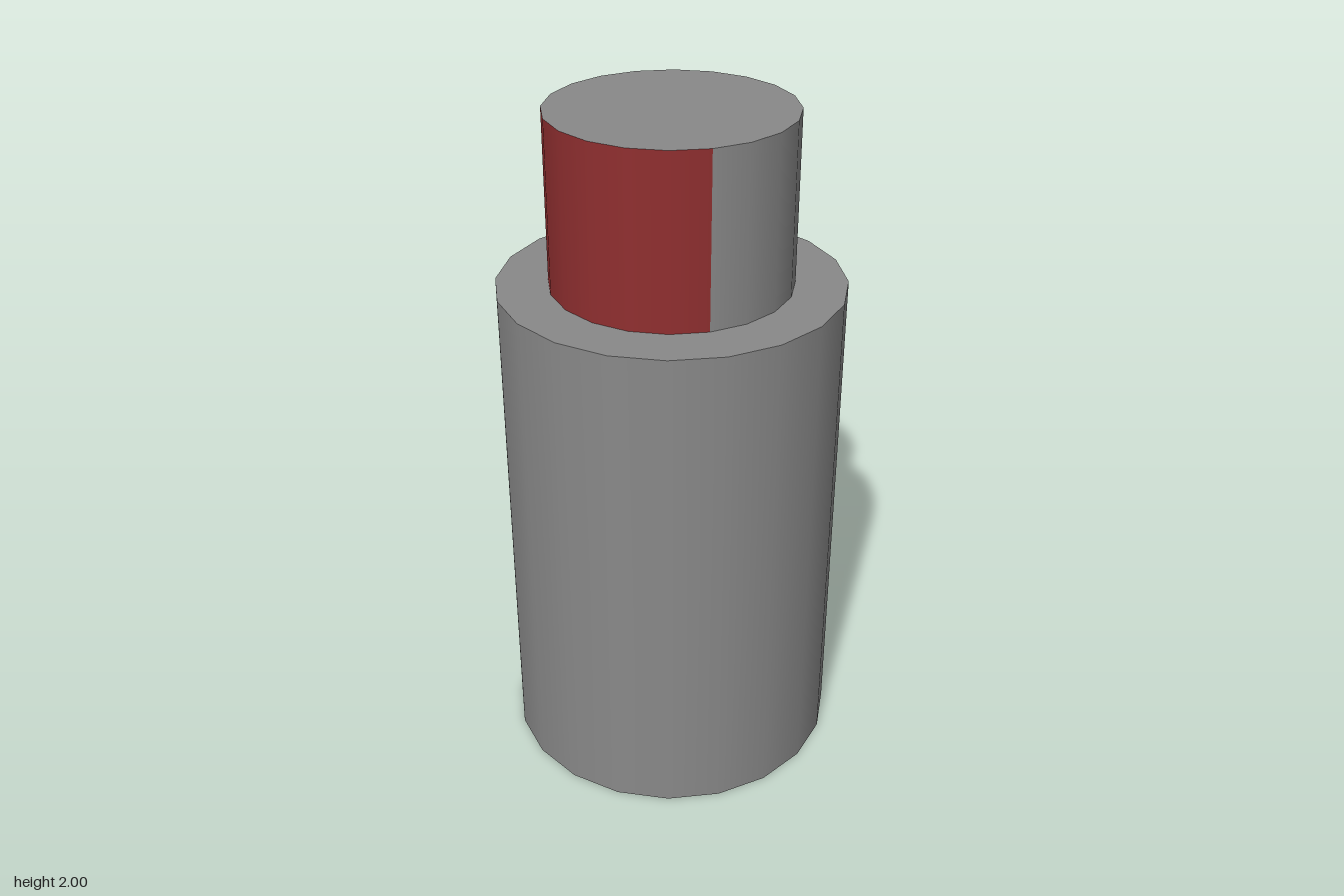
import * as THREE from 'three';

const SIDES = 20;
const STEP = (Math.PI * 2) / SIDES;

export function createModel() {
  const model = new THREE.Group();
  const grey = new THREE.MeshStandardMaterial({ color: 0x898989 });
  const red = new THREE.MeshStandardMaterial({ color: 0x902f30, side: THREE.DoubleSide });
  const greyWall = new THREE.MeshStandardMaterial({ color: 0x898989, side: THREE.DoubleSide });

  function add(name, geometry, material, y) {
    const mesh = new THREE.Mesh(geometry, material);
    mesh.name = name;
    mesh.position.y = y;
    model.add(mesh);
    return mesh;
  }

  // Wide lower body
  add('body', new THREE.CylinderGeometry(0.5, 0.5, 1.5, SIDES), grey, 0.75);

  // Narrow neck: a run of wall sides, counted from the front (+z)
  const wall = (first, count) =>
    new THREE.CylinderGeometry(0.35, 0.35, 0.5, count, 1, true, first * STEP, count * STEP);
  add('neckFrontPanel', wall(-3, 6), red, 1.75);
  add('neckWall', wall(3, SIDES - 6), greyWall, 1.75);

  // Flat cap closing the neck, its corners on the wall's corners
  const cap = add('neckTop', new THREE.CircleGeometry(0.35, SIDES), grey, 2);
  cap.rotation.x = -Math.PI / 2;

  return model;
}
